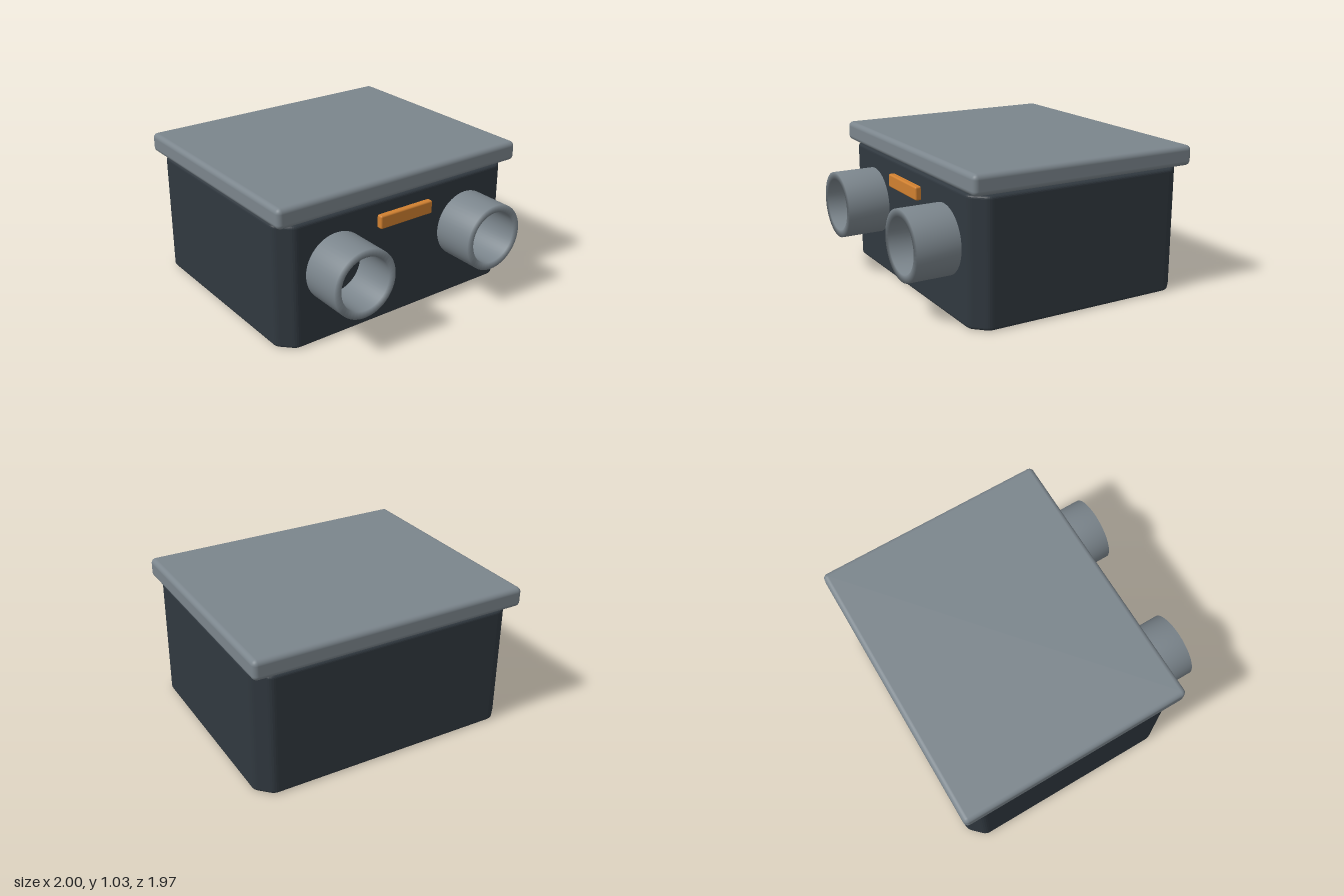
import * as THREE from 'three';
import { RoundedBoxGeometry } from 'three/addons/geometries/RoundedBoxGeometry.js';

const grey = new THREE.MeshStandardMaterial({ color: 0x7b858c });
const dark = new THREE.MeshStandardMaterial({ color: 0x30383f });
const orange = new THREE.MeshStandardMaterial({ color: 0xd08030 });

function add(group, name, geometry, material, x, y, z) {
  const mesh = new THREE.Mesh(geometry, material);
  mesh.name = name;
  mesh.position.set(x, y, z);
  group.add(mesh);
  return mesh;
}

// Rectangle with chamfered corners whose joints are slightly eased
function chamferedRect(w, d, c, ease) {
  const a = w / 2, b = d / 2;
  const corners = [
    [a - c, -b], [a, -b + c], [a, b - c], [a - c, b],
    [-a + c, b], [-a, b - c], [-a, -b + c], [-a + c, -b],
  ].map(([x, y]) => new THREE.Vector2(x, y));
  const shape = new THREE.Shape();
  corners.forEach((p, i) => {
    const prev = corners[(i + 7) % 8], next = corners[(i + 1) % 8];
    const p0 = p.clone().add(prev.clone().sub(p).setLength(ease));
    const p1 = p.clone().add(next.clone().sub(p).setLength(ease));
    if (i === 0) shape.moveTo(p0.x, p0.y);
    else shape.lineTo(p0.x, p0.y);
    shape.quadraticCurveTo(p.x, p.y, p1.x, p1.y);
  });
  shape.closePath();
  return shape;
}

export function createModel() {
  const model = new THREE.Group();
  model.name = 'box';

  // Body: chamfered upright corners, softened top and bottom rims
  const bevel = 0.02;
  const bodyGeometry = new THREE.ExtrudeGeometry(
    chamferedRect(1.94 - 2 * bevel, 1.63 - 2 * bevel, 0.09, 0.022),
    { depth: 0.88 - 2 * bevel, bevelEnabled: true, bevelSize: bevel, bevelThickness: bevel, bevelSegments: 4, curveSegments: 4 }
  );
  bodyGeometry.rotateX(-Math.PI / 2);
  add(model, 'body', bodyGeometry, dark, 0, bevel, -0.135);

  // Lid: overhanging slab floating just above the body
  add(model, 'lid', new RoundedBoxGeometry(2, 0.14, 1.69, 4, 0.035), grey, 0, 0.963, -0.14);

  // Latch plate on the front
  add(model, 'latch', new RoundedBoxGeometry(0.44, 0.095, 0.05, 3, 0.012), orange, 0, 0.738, 0.695);

  // Hollow pipe stubs on the front, with softly shaded lips
  const profile = [[0.24, 0], [0.24, 0.325], [0.187, 0.325], [0.187, 0]]
    .map(([r, y]) => new THREE.Vector2(r, y));
  const pipeGeometry = new THREE.LatheGeometry(profile, 48);
  pipeGeometry.rotateX(Math.PI / 2);
  for (const side of [1, -1]) {
    add(model, side > 0 ? 'leftPipe' : 'rightPipe', pipeGeometry, grey, side * 0.55, 0.514, 0.66);
  }

  return model;
}
